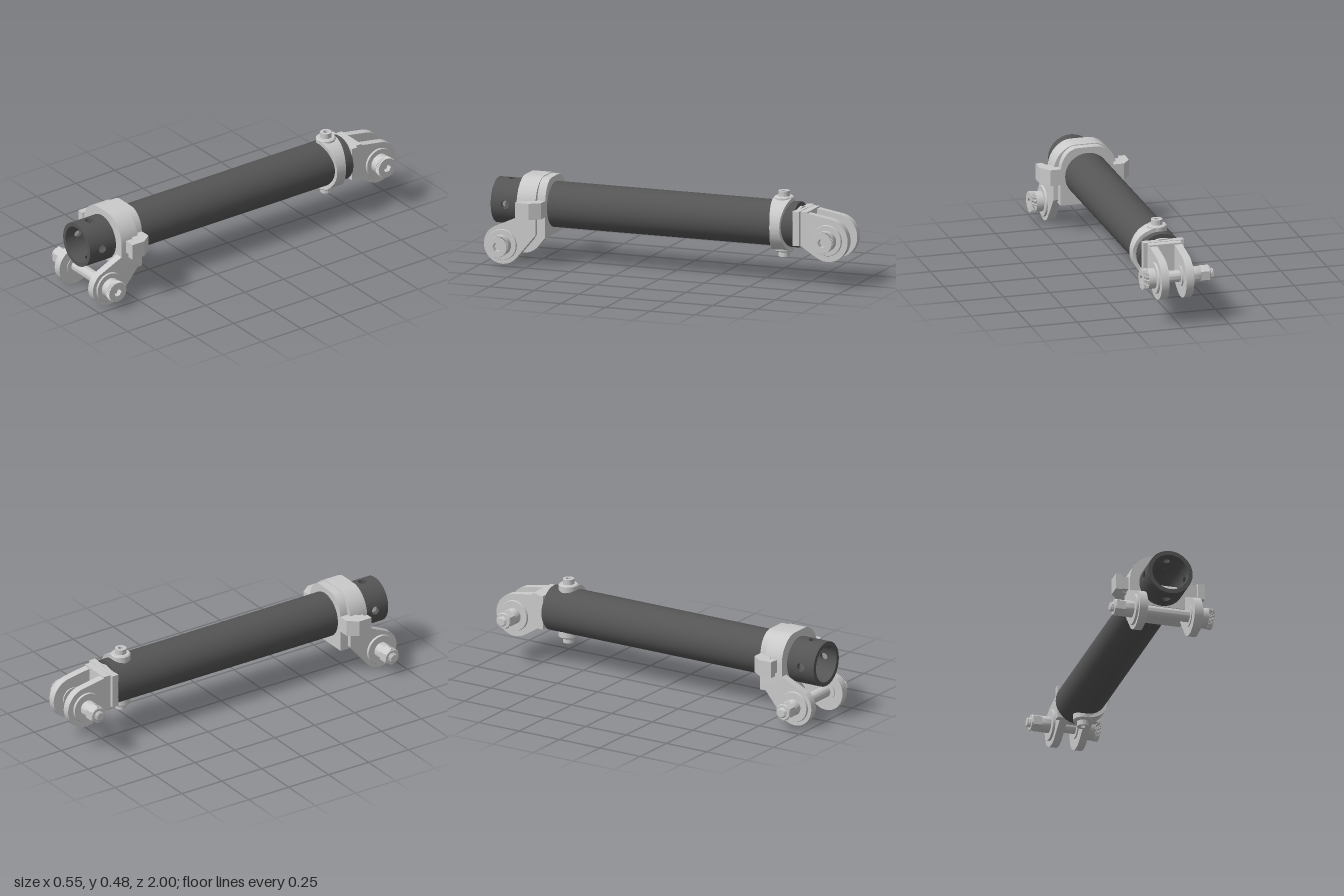
import * as THREE from 'three';
import { toCreasedNormals } from 'three/addons/utils/BufferGeometryUtils.js';
import { ParametricGeometry } from 'three/addons/geometries/ParametricGeometry.js';

const CX = 0.027, CY = 0.304, RO = 0.12, RI = 0.098;

export function createModel() {
  const model = new THREE.Group();
  const metal = new THREE.MeshStandardMaterial({ color: 0xcacaca, side: THREE.DoubleSide });
  metal.name = 'lightMetal';
  const dark = new THREE.MeshStandardMaterial({ color: 0x555555, side: THREE.DoubleSide });
  dark.name = 'darkTube';

  const add = (name, geo, mat = metal, parent = model) => {
    const m = new THREE.Mesh(toCreasedNormals(geo, 0.6), mat);
    m.name = name;
    parent.add(m);
    return m;
  };
  // Turned part: profile of [radius, position along axis]
  const turned = (pts, axis, sides = 32) => {
    const g = new THREE.LatheGeometry(pts.map(p => new THREE.Vector2(p[0], p[1])), sides);
    if (axis === 'x') g.rotateZ(-Math.PI / 2);
    if (axis === 'z') g.rotateX(Math.PI / 2);
    return g;
  };
  const extrude = (shape, depth, curveSegments = 16) =>
    new THREE.ExtrudeGeometry(shape, { depth, bevelEnabled: false, curveSegments });
  // Shape drawn in (-z, y), thickened from x0 to x1
  const plateX = (shape, x0, x1) => extrude(shape, x1 - x0).rotateY(Math.PI / 2).translate(x0, 0, 0);
  const box = (x0, x1, y0, y1, z0, z1) => new THREE.BoxGeometry(x1 - x0, y1 - y0, z1 - z0)
    .translate((x0 + x1) / 2, (y0 + y1) / 2, (z0 + z1) / 2);

  // Main tube
  const z0 = 0.815, z1 = 0.985;
  add('tube', turned([[RI, z0], [RI, -0.7], [RO, -0.7], [RO, z0]], 'z').translate(CX, CY, 0), dark);
  add('tubeFrontRim', new THREE.RingGeometry(RI, RO, 64).translate(CX, CY, z1), dark);

  // Drilled front end: four curved panels, each with a round hole
  const hole = 0.023, zh = 0.905;
  const onTube = (q, u, v, r, t) => {
    const f = u * Math.PI * 2, c = Math.cos(f), s = Math.sin(f), k = Math.max(Math.abs(c), Math.abs(s));
    const a = q * Math.PI / 2 + THREE.MathUtils.lerp(c * hole / RO, c / k * Math.PI / 4, v);
    const edge = (z0 + z1) / 2 + s / k * (z1 - z0) / 2;
    t.set(CX + r * Math.cos(a), CY + r * Math.sin(a), THREE.MathUtils.lerp(zh + s * hole, edge, v));
  };
  for (let q = 0; q < 4; q++) {
    add('drilledTubeOuter', new ParametricGeometry((u, v, t) => onTube(q, u, v, RO, t), 32, 6), dark);
    add('drilledTubeInner', new ParametricGeometry((u, v, t) => onTube(q, u, v, RI, t), 32, 6), dark);
    add('holeWall', new ParametricGeometry((u, v, t) => onTube(q, u, 0, RI + v * (RO - RI), t), 32, 1), dark);
  }

  // Cross bolt with washers, bushes, hex nut, thread and knurled socket head
  const bolt = (name, xl, xr, y, z) => {
    const g = new THREE.Group();
    g.name = name;
    g.position.set(0, y, z);
    model.add(g);
    add('boltShaft', turned([
      [0.02, xl - 0.1], [0.043, xl - 0.058], [0.043, xl - 0.012], [0.08, xl - 0.012], [0.082, xl - 0.008],
      [0.082, xl], [0.055, xl], [0.055, xl + 0.048], [0.031, xl + 0.048], [0.031, xr - 0.048],
      [0.055, xr - 0.048], [0.055, xr], [0.082, xr], [0.082, xr + 0.008], [0.08, xr + 0.011],
      [0.054, xr + 0.011], [0.054, xr + 0.05], [0, xr + 0.05]], 'x'), metal, g);
    add('nut', new THREE.CylinderGeometry(0.047, 0.047, 0.05, 6).rotateY(Math.PI / 6)
      .rotateZ(-Math.PI / 2).translate(xl - 0.083, 0, 0), metal, g);
    add('nutCollar', turned([[0.02, xl - 0.114], [0.04, xl - 0.114], [0.044, xl - 0.105]], 'x'), metal, g);
    const thread = [[0, xl - 0.134]];
    for (let i = 0; i <= 6; i++) thread.push([i % 2 ? 0.026 : 0.021, xl - 0.134 + i * 0.004]);
    add('thread', turned(thread, 'x', 20), metal, g);
    const knurl = new THREE.Shape(), socket = new THREE.Path();
    for (let i = 0; i < 96; i++) {
      const a = i / 96 * Math.PI * 2, r = i % 2 ? 0.053 : 0.056;
      knurl[i ? 'lineTo' : 'moveTo'](r * Math.cos(a), r * Math.sin(a));
    }
    for (let i = 0; i < 6; i++) {
      const a = -i / 6 * Math.PI * 2;
      socket[i ? 'lineTo' : 'moveTo'](0.024 * Math.cos(a), 0.024 * Math.sin(a));
    }
    knurl.holes.push(socket);
    add('knurledHead', plateX(knurl, xr + 0.05, xr + 0.078), metal, g);
  };
  bolt('frontBolt', -0.143, 0.197, 0.104, 0.9);
  bolt('rearBolt', -0.062, 0.113, 0.25, -0.885);

  // Front yoke: arched collar around the tube
  const arch = (hw, top, bottom) => {
    const s = new THREE.Shape();
    s.moveTo(CX - hw, bottom);
    s.lineTo(CX + hw, bottom);
    s.lineTo(CX + hw, CY + 0.015);
    s.bezierCurveTo(CX + hw, CY + 0.1, CX + 0.1, top, CX + 0.05, top);
    s.lineTo(CX - 0.05, top);
    s.bezierCurveTo(CX - 0.1, top, CX - hw, CY + 0.1, CX - hw, CY + 0.015);
    s.closePath();
    const h = new THREE.Path();
    h.absarc(CX, CY, RO, 0, Math.PI * 2, true);
    s.holes.push(h);
    return s;
  };
  add('yokeCollar', extrude(arch(0.17, 0.459, 0.18), 0.105, 8).translate(0, 0, 0.715));
  add('yokeFlange', extrude(arch(0.145, 0.455, 0.148), 0.08, 8).translate(0, 0, 0.67));

  // Front yoke arms
  const arm = new THREE.Shape();
  const deg = Math.PI / 180;
  arm.moveTo(-0.82, 0.3);
  arm.absarc(-0.9, 0.104, 0.103, 127 * deg, 322 * deg, false);
  arm.lineTo(-0.715, 0.165);
  arm.lineTo(-0.715, 0.3);
  for (const x of [-0.143, 0.154]) add('yokeArm', plateX(arm, x, x + 0.043));

  // Hooked side latches and the lock pin across the tube
  const latch = new THREE.Shape([[0.13, -0.67], [0.2, -0.67], [0.241, -0.725], [0.241, -0.8], [0.205, -0.8],
    [0.196, -0.765], [0.13, -0.735]].map(p => new THREE.Vector2(...p)));
  for (const side of [-1, 1]) {
    const g = extrude(latch, 0.086).rotateX(-Math.PI / 2).translate(0, CY - 0.043, 0);
    const m = add('sideLatch', g);
    m.position.x = CX;
    m.scale.x = side;
    const a = CX + side * 0.16, b = CX + side * 0.21;
    add('latchPinBoss', box(Math.min(a, b), Math.max(a, b), CY - 0.034, CY + 0.034, 0.735, 0.79));
  }
  add('lockPin', turned([[0, -0.2], [0.021, -0.2], [0.021, 0.2], [0, 0.2]], 'x').translate(CX, CY, 0.765));

  // Rear fork with its plug inside the tube
  add('forkPlug', turned([[0, -0.67], [0.055, -0.67], [0.055, -0.655], [0.075, -0.655], [0.075, -0.64],
    [0.088, -0.64], [0.097, -0.65], [0.097, -0.715], [0, -0.715]], 'z').translate(CX, CY, 0));
  add('forkFlange', box(-0.083, 0.135, 0.212, 0.394, -0.735, -0.698));
  add('forkBase', box(-0.062, 0.113, 0.212, 0.392, -0.775, -0.73));
  const tine = new THREE.Shape();
  tine.moveTo(0.73, 0.392);
  tine.lineTo(0.73, 0.212);
  tine.absarc(0.885, 0.25, 0.114, -122 * deg, 78 * deg, false);
  tine.closePath();
  for (const x of [-0.062, 0.072]) add('forkTine', plateX(tine, x, x + 0.041));

  // Rear clip: half band that narrows midway, with a boss and screw at each end
  const band = new THREE.Shape();
  band.absarc(0, 0, 0.14, -Math.PI / 2, Math.PI / 2, false);
  band.absarc(0, 0, 0.119, Math.PI / 2, -Math.PI / 2, true);
  const bandGeo = extrude(band, 1, 28).translate(0, 0, -0.5);
  const p = bandGeo.attributes.position;
  for (let i = 0; i < p.count; i++) {
    const s = Math.abs(p.getY(i)) / Math.hypot(p.getX(i), p.getY(i));
    p.setZ(i, p.getZ(i) * (0.056 + 0.044 * s * s));
  }
  add('clipBand', bandGeo.translate(CX, CY, -0.61));
  for (const side of [-1, 1]) {
    const end = new THREE.Group();
    end.name = 'clipEnd';
    end.position.set(CX, CY, -0.61);
    if (side < 0) end.rotation.x = Math.PI;
    model.add(end);
    add('clipBoss', turned([[0, 0.105], [0.052, 0.105], [0.052, 0.14], [0.046, 0.146], [0, 0.146]], 'y'), metal, end);
    add('screwHead', turned([[0.03, 0.14], [0.03, 0.174], [0.014, 0.174], [0.014, 0.155], [0, 0.155]], 'y'), metal, end);
    const screw = [[0, 0.05]];
    for (let i = 0; i <= 8; i++) screw.push([i % 2 ? 0.016 : 0.012, 0.05 + i * 0.0035]);
    screw.push([0.012, 0.11]);
    add('screwTip', turned(screw, 'y', 20), metal, end);
  }
  return model;
}
